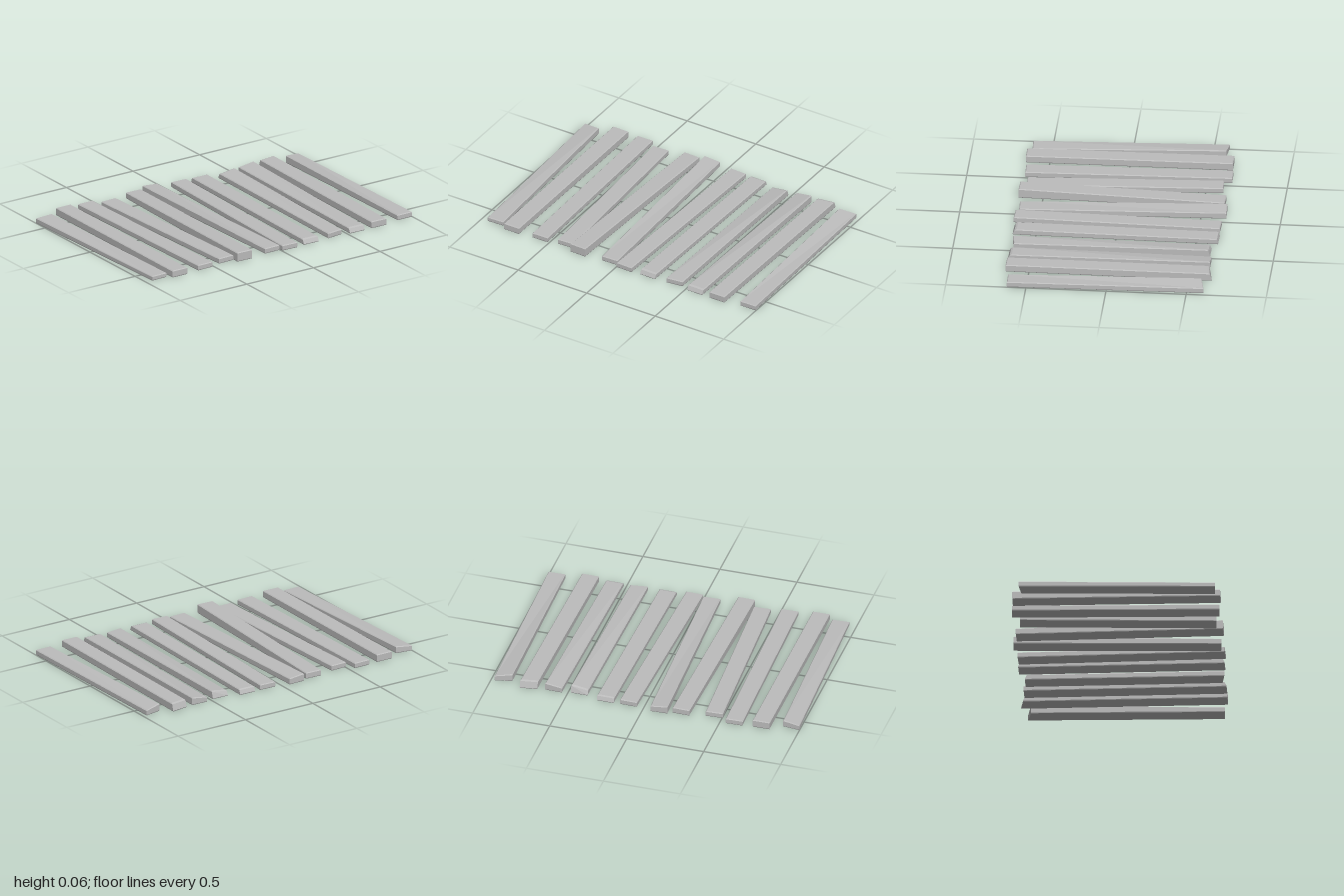
import * as THREE from 'three';

const WIDTH = 0.11, BEVEL = 0.005, TOP = 0.035;

// Centre line of each plank from its back end to its front end (x, z),
// with optional uneven tops, crooked cuts and sloped ends.
const PLANKS = [
  { back: [-0.945, -0.592], front: [-0.9, 0.622], right: 0.045, nose: 0.03, backSkew: 0.018 },
  { back: [-0.765, -0.643], front: [-0.765, 0.65], left: 0.05, right: 0.05, nose: 0.045 },
  { back: [-0.593, -0.653], front: [-0.565, 0.637] },
  { back: [-0.45, -0.608], front: [-0.393, 0.613] },
  { back: [-0.243, -0.638], front: [-0.28, 0.652], left: 0.04, right: 0.04, nose: 0.06 },
  { back: [-0.106, -0.658], front: [-0.06, 0.632], left: 0.05, right: 0.04 },
  { back: [0.098, -0.638], front: [0.058, 0.652] },
  { back: [0.248, -0.64], front: [0.225, 0.645], backSlope: 0.015, frontSlope: 0.02 },
  { back: [0.428, -0.605], front: [0.412, 0.63], right: 0.05, backSlope: 0.02, frontSkew: -0.015 },
  { back: [0.59, -0.618], front: [0.57, 0.645], right: 0.05, frontSlope: 0.02 },
  { back: [0.748, -0.635], front: [0.732, 0.645], left: 0.05, right: 0.05, nose: 0.045, backSlope: 0.02, backSkew: -0.018 },
  { back: [0.922, -0.596], front: [0.943, 0.62], left: 0.05, backSkew: -0.02 },
];

function plankGeometry({
  back, front, left = TOP, right = TOP, nose = TOP,
  backSlope = 0, frontSlope = 0, backSkew = 0, frontSkew = 0,
}) {
  // skew of a square cut across the leaning plank
  const lean = (-WIDTH * (front[0] - back[0])) / (front[1] - back[1]);

  // four corners of one level: back left, back right, front right, front left
  const ring = (inset, height, slope) => {
    const corner = (end, side, dir, skew, endSlope, top) => [
      end[0] + side * (WIDTH / 2 - inset),
      height(top),
      end[1] + (side * (lean + skew)) / 2 + dir * (inset + slope * endSlope),
    ];
    return [
      corner(back, -1, 1, backSkew, backSlope, left),
      corner(back, 1, 1, backSkew, backSlope, right),
      corner(front, 1, -1, frontSkew, frontSlope, nose),
      corner(front, -1, -1, frontSkew, frontSlope, nose),
    ];
  };

  // levels from the underside to the bevelled top
  const rings = [
    ring(BEVEL / 2, () => 0, 0),
    ring(0, () => BEVEL, 0),
    ring(0, (top) => top - BEVEL, 0.6),
    ring(BEVEL, (top) => top, 1),
  ];
  const points = [];
  const quad = (a, b, c, d) => points.push(...a, ...b, ...c, ...a, ...c, ...d);
  quad(...rings[0]);
  quad(...[...rings[3]].reverse());
  for (let k = 0; k < 3; k++) {
    for (let i = 0; i < 4; i++) {
      const j = (i + 1) % 4;
      quad(rings[k][i], rings[k + 1][i], rings[k + 1][j], rings[k][j]);
    }
  }
  const geometry = new THREE.BufferGeometry();
  geometry.setAttribute('position', new THREE.Float32BufferAttribute(points, 3));
  geometry.computeVertexNormals();
  return geometry;
}

export function createModel() {
  const group = new THREE.Group();
  group.name = 'plankWalkway';
  const wood = new THREE.MeshStandardMaterial({ color: 0xbcbcbc });
  wood.name = 'paleGrey';
  PLANKS.forEach((plank, i) => {
    const mesh = new THREE.Mesh(plankGeometry(plank), wood);
    mesh.name = `plank${i + 1}`;
    group.add(mesh);
  });
  return group;
}
